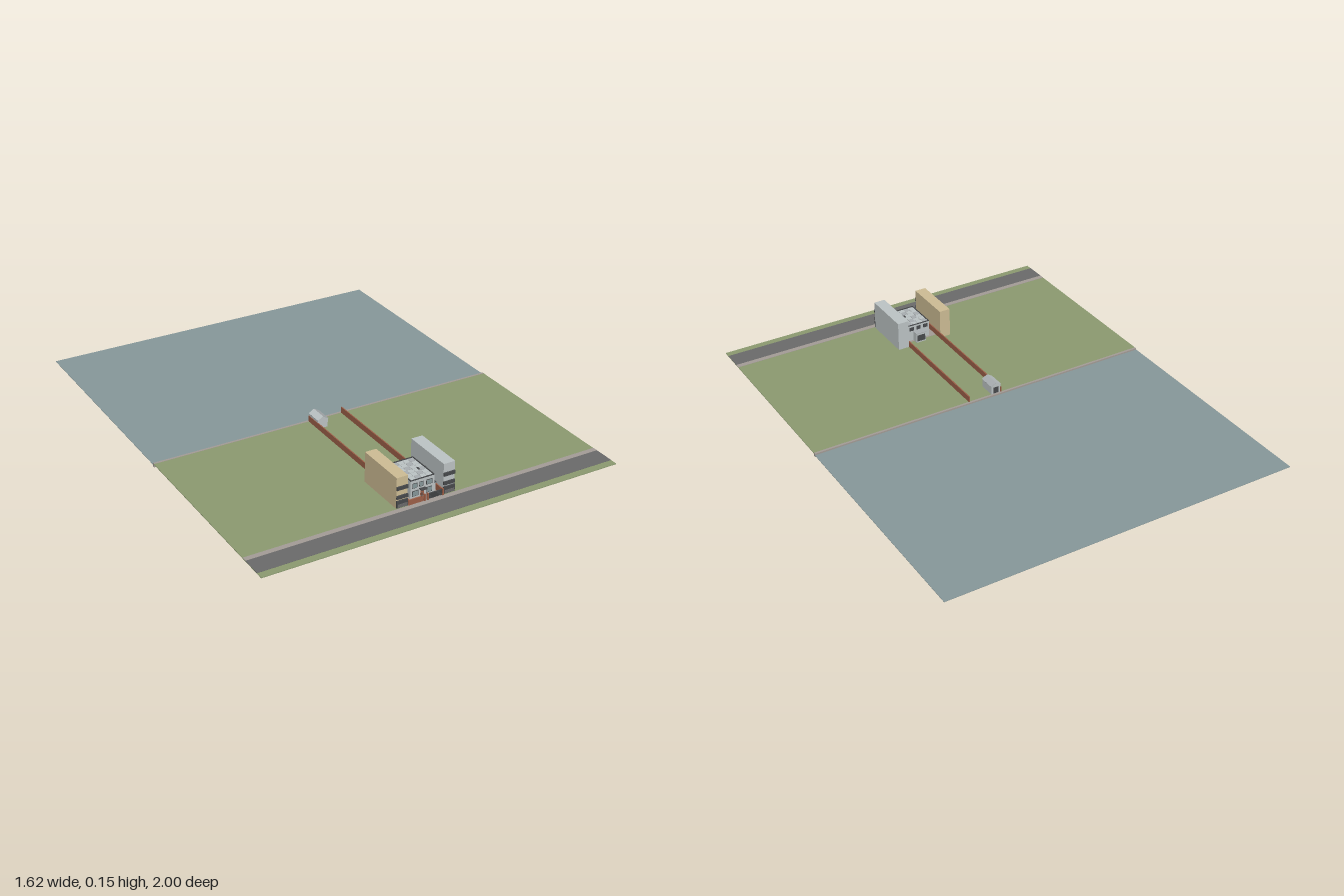
import * as THREE from 'three';

const mat = (name, color) => Object.assign(new THREE.MeshStandardMaterial({ color }), { name });
const M = {
  lawn: mat('lawn green', 0x8b9a70),
  water: mat('water blue grey', 0x869799),
  road: mat('asphalt', 0x6a6a6a),
  paving: mat('paving', 0xa39c96),
  brick: mat('brick', 0x9c5f48),
  beige: mat('beige render', 0xcdbc94),
  pale: mat('pale grey render', 0xbcc3c4),
  dark: mat('dark frames', 0x47494b),
  roof: mat('roof grey', 0xa9aeb1),
};

export function createModel() {
  const model = new THREE.Group();
  model.name = 'canalPlot';

  // Box given by its limits on each axis
  function box(parent, name, m, x0, x1, y0, y1, z0, z1) {
    const mesh = new THREE.Mesh(new THREE.BoxGeometry(x1 - x0, y1 - y0, z1 - z0), m);
    mesh.position.set((x0 + x1) / 2, (y0 + y1) / 2, (z0 + z1) / 2);
    mesh.name = name;
    parent.add(mesh);
    return mesh;
  }
  function group(name) {
    const g = new THREE.Group();
    g.name = name;
    model.add(g);
    return g;
  }

  const W = 0.808, G = 0.015; // half width of the site, ground level

  // Ground, water and street
  const site = group('site');
  box(site, 'water', M.water, -W, W, 0.007, 0.009, -1, 0.07);
  box(site, 'lawn', M.lawn, -W, W, 0.012, G, 0.08, 1);
  box(site, 'quayWall', M.paving, -W, W, 0, 0.016, 0.07, 0.08);
  box(site, 'pavement', M.paving, -W, W, G, 0.0162, 0.855, 0.878);
  box(site, 'road', M.road, -W, W, G, 0.0158, 0.878, 0.968);
  box(site, 'forecourt', M.paving, -0.088, 0.068, G, 0.016, 0.65, 0.855);

  // Long brick garden walls
  const walls = group('gardenWalls');
  for (const x of [-0.09, 0.068]) {
    box(walls, 'gardenWall', M.brick, x - 0.0025, x + 0.0025, G, 0.042, 0.078, 0.853);
  }

  // Neighbouring blocks with dark window bands on the street side
  function neighbour(name, m, x0, x1) {
    const g = group(name);
    box(g, 'block', m, x0, x1, G, 0.15, 0.617, 0.848);
    for (const [y0, y1] of [[0.018, 0.049], [0.056, 0.071], [0.096, 0.111]]) {
      box(g, 'windowBand', M.dark, x0, x1, y0, y1, 0.848, 0.854);
    }
    box(g, 'groundFloorSill', M.road, x0 + 0.004, x1 - 0.004, 0.02, 0.034, 0.854, 0.856);
  }
  neighbour('rightNeighbour', M.beige, -0.144, -0.093);
  neighbour('leftNeighbour', M.pale, 0.071, 0.123);

  // House: main volume, rear bay and side porch
  const house = group('house');
  const x0 = -0.058, x1 = 0.052, z0 = 0.66, z1 = 0.815, top = 0.096;
  box(house, 'mainVolume', M.pale, x0, x1, G, 0.092, z0, z1);
  box(house, 'rearBay', M.pale, -0.025, 0.024, G, 0.06, 0.63, z0);
  box(house, 'rearBayRoof', M.roof, -0.027, 0.026, 0.06, 0.063, 0.628, z0);
  box(house, 'rearBayGlass', M.dark, -0.02, 0.019, 0.022, 0.052, 0.628, 0.63);
  box(house, 'sidePorch', M.pale, x1, 0.064, G, 0.05, 0.735, 0.808);
  box(house, 'sidePorchRoof', M.dark, x1, 0.066, 0.05, 0.053, 0.733, 0.81);
  box(house, 'chimney', M.dark, x1, 0.062, 0.053, 0.088, 0.735, 0.742);

  // Parapet round the flat roof
  const t = 0.003;
  box(house, 'parapetFront', M.dark, x0, x1, 0.092, top, z1 - t, z1);
  box(house, 'parapetBack', M.dark, x0, x1, 0.092, top, z0, z0 + t);
  box(house, 'parapetSide', M.dark, x0, x0 + t, 0.092, top, z0 + t, z1 - t);
  box(house, 'parapetSide', M.dark, x1 - t, x1, 0.092, top, z0 + t, z1 - t);

  // Roof panels in a grid, and a vent
  for (let i = 0; i < 4; i++) {
    for (let j = 0; j < 6; j++) {
      const px = x0 + 0.006 + i * 0.025, pz = z0 + 0.007 + j * 0.024;
      box(house, 'roofPanel', (i + j) % 3 ? M.pale : M.roof, px, px + 0.023, 0.092, 0.0935, pz, pz + 0.022);
    }
  }
  box(house, 'roofVent', M.dark, 0.017, 0.023, 0.0935, 0.097, 0.74, 0.755);

  // Windows and doors, front and back
  for (const [wx0, wx1, y0, y1] of [[-0.05, -0.028, 0.058, 0.08], [-0.018, 0.0, 0.058, 0.08],
    [0.014, 0.042, 0.058, 0.08], [-0.05, -0.022, 0.022, 0.046], [0.016, 0.042, 0.022, 0.046]]) {
    box(house, 'frontWindow', M.dark, wx0, wx1, y0, y1, z1, z1 + 0.0015);
    box(house, 'windowPane', M.water, wx0 + 0.002, wx1 - 0.002, y0 + 0.002, y1 - 0.002, z1 + 0.001, z1 + 0.002);
  }
  box(house, 'frontDoor', M.brick, -0.012, 0.004, 0.016, 0.046, z1, z1 + 0.002);
  box(house, 'doorCanopy', M.dark, -0.018, 0.01, 0.048, 0.051, z1, z1 + 0.018);
  for (const x of [-0.05, -0.014, 0.022]) {
    box(house, 'backWindow', M.dark, x, x + 0.022, 0.066, 0.084, z0 - 0.0015, z0);
  }

  // Street boundary: brick wall, gate posts and dark gate
  const front = group('frontBoundary');
  box(front, 'frontWall', M.brick, -0.093, -0.022, G, 0.039, 0.85, 0.855);
  for (const x of [-0.02, -0.006, 0.064]) {
    box(front, 'gatePost', M.brick, x, x + 0.006, G, 0.045, 0.849, 0.858);
  }
  box(front, 'gateRail', M.dark, 0, 0.064, 0.04, 0.043, 0.851, 0.854);
  for (let i = 0; i < 13; i++) {
    const x = 0.001 + i * 0.0049;
    box(front, 'gateBar', M.dark, x, x + 0.003, 0.017, 0.04, 0.851, 0.854);
  }
  box(front, 'lampPost', M.dark, -0.031, -0.028, 0.039, 0.055, 0.851, 0.854);

  // Gabled boathouse on the quay
  const boathouse = group('boathouse');
  const bx = -0.067, bw = 0.025;
  const gable = new THREE.Shape([[-0.023, G], [0.023, G], [0.023, 0.054], [0, 0.068], [-0.023, 0.054]]
    .map(([x, y]) => new THREE.Vector2(x, y)));
  const body = new THREE.Mesh(new THREE.ExtrudeGeometry(gable, { depth: 0.074, bevelEnabled: false }), M.pale);
  body.name = 'boathouseBody';
  body.position.set(bx, 0, 0.081);
  boathouse.add(body);
  for (const s of [-1, 1]) {
    const slope = new THREE.Mesh(new THREE.BoxGeometry(Math.hypot(bw, 0.015), 0.002, 0.078), s < 0 ? M.pale : M.roof);
    slope.name = 'boathouseRoof';
    slope.position.set(bx + s * bw / 2, 0.0615, 0.118);
    slope.rotation.z = -s * Math.atan2(0.015, bw);
    boathouse.add(slope);
  }
  box(boathouse, 'boathouseDoor', M.dark, bx - 0.012, bx + 0.012, 0.017, 0.046, 0.0795, 0.081);

  return model;
}
